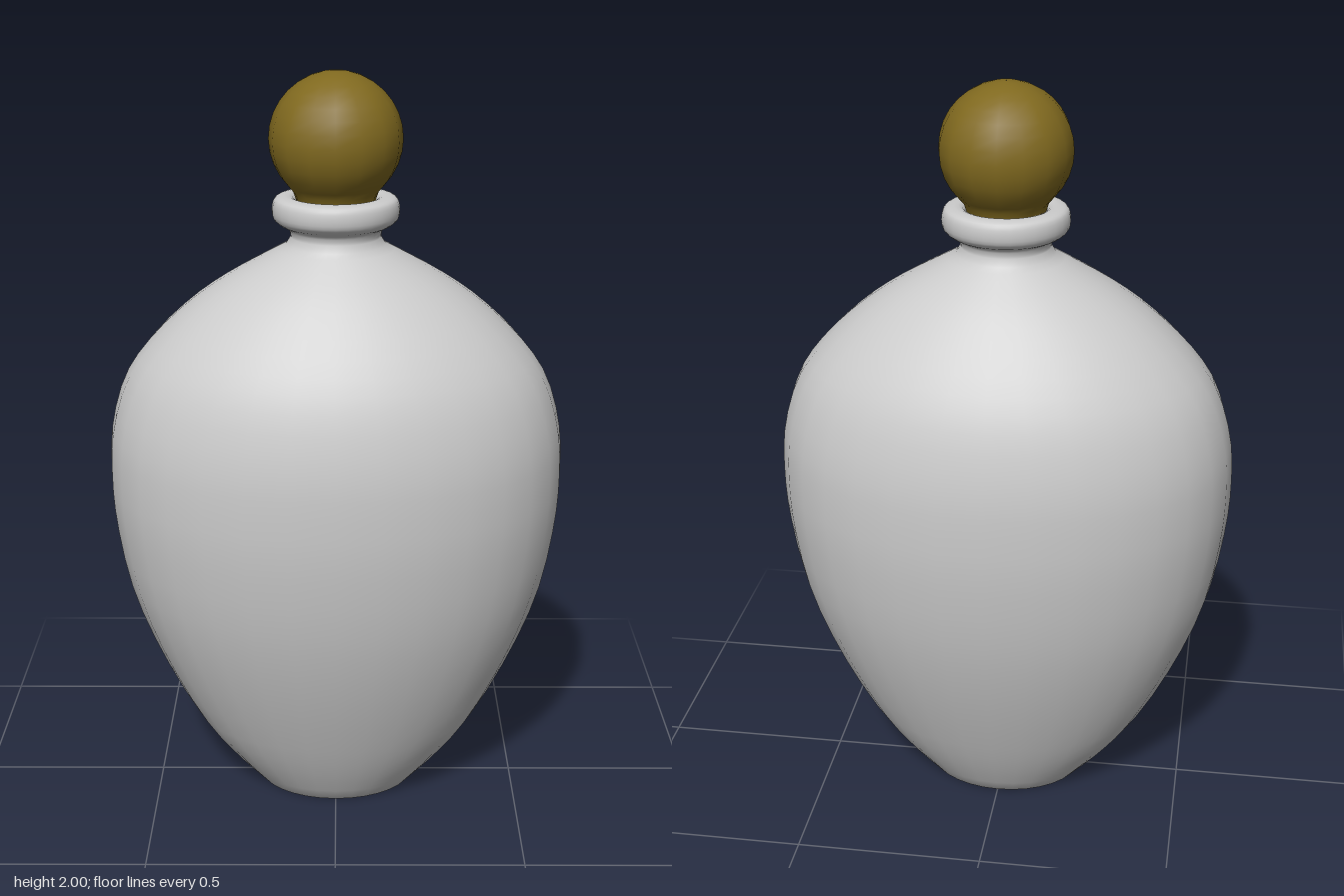
import * as THREE from 'three';

// Skins a stack of elliptical rings, each a Vector3 of (x radius, height, z radius).
function loft(rings, sides) {
  const pos = [], index = [];
  rings.forEach((r, i) => {
    for (let j = 0; j < sides; j++) {
      const a = (j / sides) * Math.PI * 2;
      pos.push(r.x * Math.sin(a), r.y, r.z * Math.cos(a));
      if (i === 0) continue;
      const k = (j + 1) % sides, lo = (i - 1) * sides, hi = i * sides;
      index.push(lo + j, lo + k, hi + k, lo + j, hi + k, hi + j);
    }
  });
  const g = new THREE.BufferGeometry();
  g.setAttribute('position', new THREE.Float32BufferAttribute(pos, 3));
  g.setIndex(index);
  g.computeVertexNormals();
  return g;
}

const ring = ([x, y, z = x]) => new THREE.Vector3(x, y, z);
const smooth = (points, n) => new THREE.CatmullRomCurve3(points.map(ring)).getPoints(n);

export function createModel() {
  const group = new THREE.Group();
  const glass = new THREE.MeshStandardMaterial({ color: 0xcccccc, side: THREE.DoubleSide });
  const brass = new THREE.MeshStandardMaterial({ color: 0x80691f });

  // Hollowed underside
  const base = [[0.001, 0.04], [0.08, 0.035, 0.065], [0.15, 0.015, 0.12], [0.19, 0.002, 0.15]].map(ring);

  // Flattened oval body
  const body = smooth([
    [0.215, 0, 0.17], [0.30, 0.09, 0.22], [0.385, 0.2, 0.27], [0.49, 0.4, 0.345],
    [0.565, 0.6, 0.40], [0.602, 0.8, 0.43], [0.61, 0.93, 0.436], [0.602, 1.06, 0.431],
    [0.56, 1.2, 0.40], [0.49, 1.3, 0.353], [0.385, 1.4, 0.28], [0.29, 1.467, 0.222],
    [0.19, 1.523, 0.162], [0.13, 1.555, 0.125],
  ], 32);

  // Narrow neck rolling out into the lip, then down inside the mouth
  const neck = smooth([
    [0.118, 1.575, 0.117], [0.122, 1.595, 0.12], [0.148, 1.61, 0.145], [0.163, 1.625, 0.159],
    [0.166, 1.65, 0.162], [0.16, 1.672, 0.157], [0.145, 1.68, 0.143], [0.115, 1.68], [0.1, 1.66], [0.09, 1.58],
  ], 24);

  const bottle = new THREE.Mesh(loft([...base, ...body, ...neck], 32), glass);
  bottle.name = 'bottle';
  group.add(bottle);

  // Ball stopper with a short plug reaching into the mouth
  const R = 0.173, profile = [[0.001, 1.6], [0.095, 1.6], [0.1, 1.66], [0.11, 1.69]].map(ring);
  for (let i = 0; i <= 12; i++) {
    const a = THREE.MathUtils.lerp(-0.78, Math.PI / 2, i / 12);
    profile.push(ring([Math.max(R * Math.cos(a), 0.0005), 1.827 + R * Math.sin(a)]));
  }
  const stopper = new THREE.Mesh(loft(profile, 16), brass);
  stopper.name = 'stopper';
  group.add(stopper);

  return group;
}
